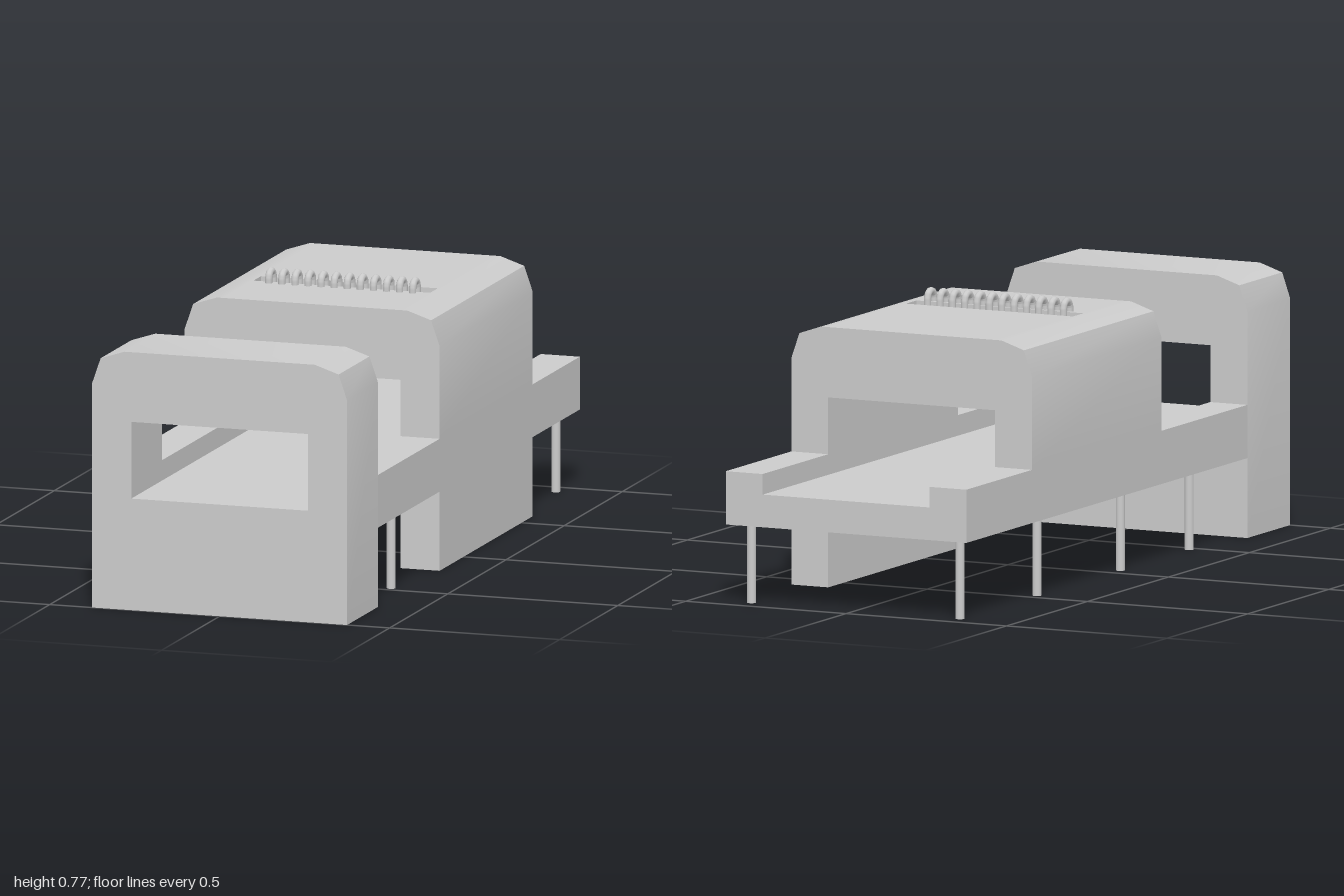
import * as THREE from 'three';
import { toCreasedNormals } from 'three/addons/utils/BufferGeometryUtils.js';

const W = 0.375, IN = 0.26, TOP = 0.733, RAIL = 0.375, FLOOR = 0.317, BASE = 0.225, CEIL = 0.535;
const MID_F = 0.205, MID_B = -0.595, FRONT = 0.735;

export function createModel() {
  const group = new THREE.Group();
  const material = new THREE.MeshStandardMaterial({ color: 0xcccccc });

  const add = (name, geometry, x = 0, y = 0, z = 0) => {
    const mesh = new THREE.Mesh(geometry, material);
    mesh.name = name;
    mesh.position.set(x, y, z);
    group.add(mesh);
    return mesh;
  };
  const shapeOf = (pts) => new THREE.Shape(pts.map(([x, y]) => new THREE.Vector2(x, y)));
  // Cross-section in x/y, running from z0 to z1
  const prism = (name, shape, z0, z1) => {
    const geo = new THREE.ExtrudeGeometry(shape, { depth: z1 - z0, bevelEnabled: false });
    geo.translate(0, 0, z0);
    return add(name, toCreasedNormals(geo, 0.5));
  };
  const box = (name, x0, x1, y0, y1, z0, z1) =>
    add(name, new THREE.BoxGeometry(x1 - x0, y1 - y0, z1 - z0), (x0 + x1) / 2, (y0 + y1) / 2, (z0 + z1) / 2);

  // Rounded shoulder, bottom to top
  const shoulder = [[W, 0.638], [0.35, 0.71], [0.28, TOP]];
  const mirror = (pts) => pts.map(([x, y]) => [-x, y]).reverse();

  // Front block with window
  const frame = shapeOf([[-W, 0], [W, 0], ...shoulder, ...mirror(shoulder)]);
  frame.holes.push(new THREE.Path([[-IN, FLOOR], [-IN, CEIL], [IN, CEIL], [IN, FLOOR]]
    .map(([x, y]) => new THREE.Vector2(x, y))));
  prism('frontBlock', frame, FRONT, 1);

  // Channel-shaped tray
  const halfTray = [[W, BASE], [W, RAIL], [IN, RAIL], [IN, FLOOR]];
  prism('tray', shapeOf([...halfTray, ...mirror(halfTray)]), -1, FRONT);

  // Middle housing: two cheeks and a roof split by a slot
  const cheek = [[IN, RAIL], [W, RAIL], ...shoulder, [IN, TOP]];
  prism('leftCheek', shapeOf(cheek), MID_B, MID_F);
  prism('rightCheek', shapeOf(mirror(cheek)), MID_B, MID_F);
  box('roofFront', -IN, IN, CEIL, TOP, -0.05, MID_F);
  box('roofBack', -IN, IN, CEIL, TOP, MID_B, -0.115);

  // Skirt below the tray, on one side only
  box('sideSkirt', IN, W, 0, BASE, MID_B, MID_F);

  // Contact wires hooking out of the slot
  const arch = [[0.56, -0.072], [0.745, -0.072]];
  for (let i = 1; i <= 6; i++) {
    const a = Math.PI * (1 - i / 6);
    arch.push([0.745 + 0.02 * Math.sin(a), -0.052 + 0.02 * Math.cos(a)]);
  }
  arch.push([0.72, -0.032]);
  const path = new THREE.CurvePath();
  const points = arch.map(([y, z]) => new THREE.Vector3(0, y, z));
  for (let i = 1; i < points.length; i++) path.add(new THREE.LineCurve3(points[i - 1], points[i]));
  const wire = new THREE.TubeGeometry(path, 60, 0.01, 10);
  for (let i = 0; i < 12; i++) add('contactWire' + (i + 1), wire, -0.209 + i * 0.0385);

  // Solder pins
  const pin = new THREE.CylinderGeometry(0.0125, 0.0125, BASE, 16);
  const pins = [[0.325, -0.94], [0.325, 0.475], [-0.325, -0.94], [-0.325, -0.465], [-0.325, 0.05], [-0.325, 0.475]];
  pins.forEach(([x, z], i) => add('pin' + (i + 1), pin, x, BASE / 2, z));

  return group;
}
